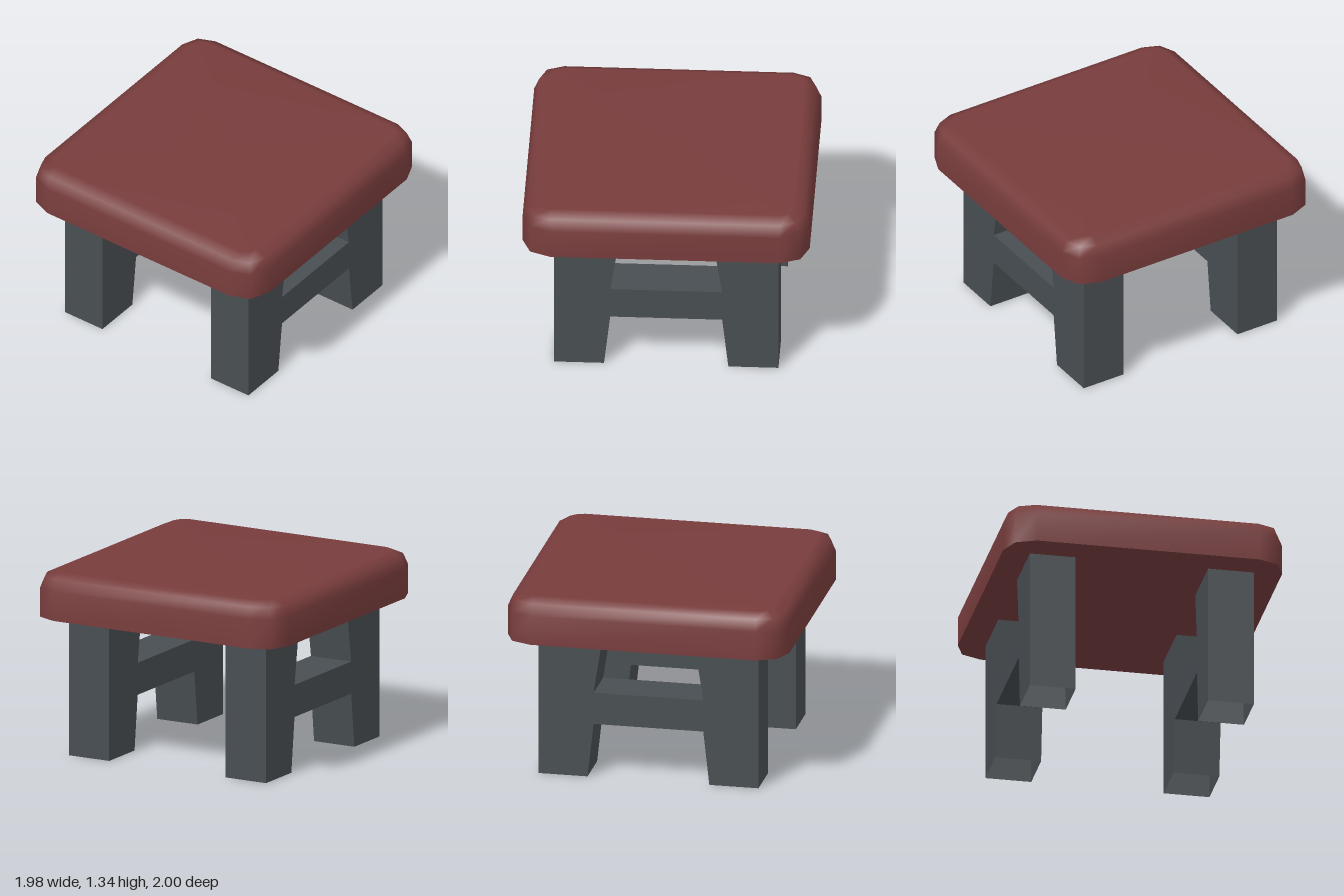
import * as THREE from 'three';

const SEAT_Y = 1.01;

// Rounded-rectangle outline with two facets per corner, counter-clockwise from above
function outline(radius) {
  const points = [];
  const corners = [[1, 1], [1, -1], [-1, -1], [-1, 1]];
  corners.forEach(([sx, sz], i) => {
    for (let k = 0; k < 3; k++) {
      const a = Math.PI / 2 - (i * 2 + k) * Math.PI / 4;
      points.push([sx * 0.79 + radius * Math.cos(a), sz * 0.8 + radius * Math.sin(a)]);
    }
  });
  return points;
}

// Seat: stacked outlines with a bevelled top edge, closed above and below
function seatGeometry() {
  const rings = [[SEAT_Y, 0.2], [1.22, 0.2], [1.3, 0.165], [1.335, 0.085]];
  const n = 12, pos = [], index = [];
  const addRing = (y, r) => outline(r).forEach(([x, z]) => pos.push(x, y, z));
  rings.forEach(([y, r]) => addRing(y, r));
  for (let i = 0; i < rings.length - 1; i++) {
    for (let j = 0; j < n; j++) {
      const a = i * n + j, b = i * n + (j + 1) % n;
      index.push(a, b, b + n, a, b + n, a + n);
    }
  }
  // Top shares its rim for a soft edge; the underside has its own rim for a sharp one
  const top = (rings.length - 1) * n, under = rings.length * n;
  addRing(SEAT_Y, 0.2);
  const topMid = under + n, underMid = topMid + 1;
  pos.push(0, 1.335, 0, 0, SEAT_Y, 0);
  for (let j = 0; j < n; j++) {
    const k = (j + 1) % n;
    index.push(topMid, top + j, top + k, underMid, under + k, under + j);
  }
  const geo = new THREE.BufferGeometry();
  geo.setAttribute('position', new THREE.Float32BufferAttribute(pos, 3));
  geo.setIndex(index);
  geo.computeVertexNormals();
  return geo;
}

// H-shaped pair of legs with a stretcher, hollow and open at the feet and top
function legFrameGeometry() {
  const half = [[0.39, 0.62], [0.33, SEAT_Y], [0.782, SEAT_Y], [0.782, 0], [0.433, 0], [0.39, 0.39]];
  const mirrored = half.map(([z, y]) => [-z, y]).reverse();
  const shape = new THREE.Shape([...half, ...mirrored].map(([z, y]) => new THREE.Vector2(z, y)));
  const width = 0.325;
  const geo = new THREE.ExtrudeGeometry(shape, { depth: width, bevelEnabled: false });
  geo.translate(0, 0, -width / 2).rotateY(-Math.PI / 2);
  const p = geo.attributes.position, kept = [];
  for (let i = 0; i < p.count; i += 3) {
    const ys = [p.getY(i), p.getY(i + 1), p.getY(i + 2)];
    const flatEnd = [0, SEAT_Y].some(e => ys.every(y => Math.abs(y - e) < 1e-4));
    if (!flatEnd) kept.push(i, i + 1, i + 2);
  }
  geo.clearGroups();
  geo.setIndex(kept);
  return geo;
}

export function createModel() {
  const group = new THREE.Group();
  group.name = 'stool';
  const red = new THREE.MeshStandardMaterial({ color: 0x783c3c });
  red.name = 'dark red';
  const grey = new THREE.MeshStandardMaterial({ color: 0x484e52, side: THREE.DoubleSide });
  grey.name = 'slate grey';

  const seat = new THREE.Mesh(seatGeometry(), red);
  seat.name = 'seat';
  group.add(seat);

  const frame = legFrameGeometry();
  for (const [name, x] of [['leftLegFrame', 0.63], ['rightLegFrame', -0.635]]) {
    const mesh = new THREE.Mesh(frame, grey);
    mesh.name = name;
    mesh.position.x = x;
    group.add(mesh);
  }
  return group;
}
